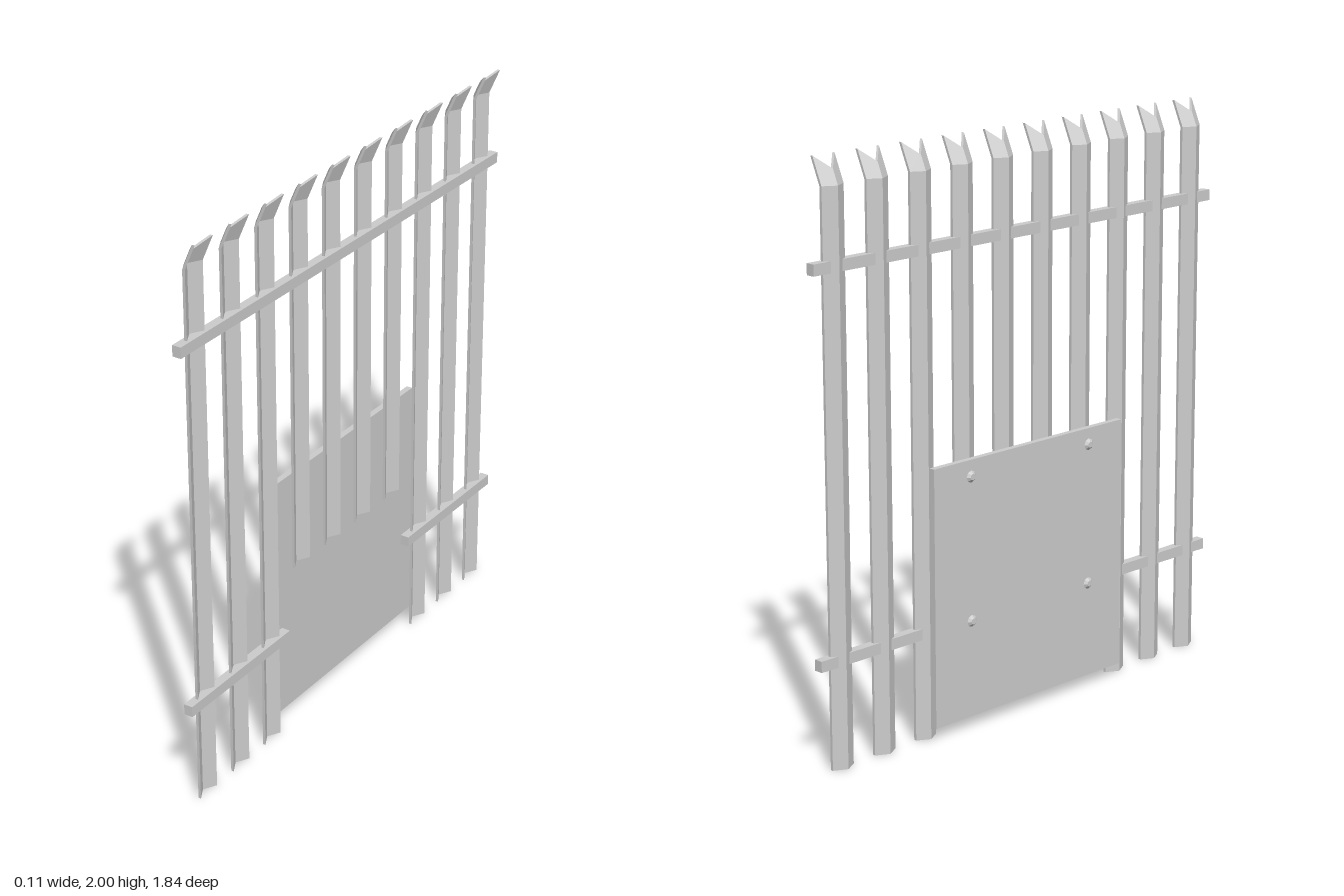
import * as THREE from 'three';

const material = new THREE.MeshStandardMaterial({ color: 0xcccccc, flatShading: true });

// V-shaped steel pale: a chevron section [x, z] swept upwards, bent and notched at the top
const SECTION = [[0, -0.045], [-0.025, 0], [0, 0.045], [0.01, 0.045], [-0.015, 0], [0.01, -0.045]];
const BEND_Y = 1.91;

function paleGeometry(bottom) {
  const ring = (yAt) => SECTION.map(([x, z]) => {
    const y = yAt(z);
    return [x + Math.max(0, y - BEND_Y) * 0.44, y, z];
  });
  const rings = [
    ring(() => bottom),
    ring(() => BEND_Y),
    ring((z) => (z === 0 ? 1.96 : 2)),
  ];
  const pos = [];
  const quad = (a, b, c, d) => pos.push(...a, ...b, ...c, ...a, ...c, ...d);
  for (let r = 0; r < 2; r++) {
    for (let i = 0; i < 6; i++) {
      const j = (i + 1) % 6;
      quad(rings[r][i], rings[r][j], rings[r + 1][j], rings[r + 1][i]);
    }
  }
  // end caps, one quad per arm of the chevron
  const [lo, , hi] = rings;
  quad(hi[0], hi[1], hi[4], hi[5]);
  quad(hi[1], hi[2], hi[3], hi[4]);
  quad(lo[5], lo[4], lo[1], lo[0]);
  quad(lo[4], lo[3], lo[2], lo[1]);
  const geo = new THREE.BufferGeometry();
  geo.setAttribute('position', new THREE.Float32BufferAttribute(pos, 3));
  geo.computeVertexNormals();
  return geo;
}

export function createModel() {
  const model = new THREE.Group();
  model.name = 'palisadeFence';

  const add = (name, geometry, x, y, z) => {
    const mesh = new THREE.Mesh(geometry, material);
    mesh.name = name;
    mesh.position.set(x, y, z);
    model.add(mesh);
    return mesh;
  };
  const box = (name, sx, sy, sz, x, y, z) => add(name, new THREE.BoxGeometry(sx, sy, sz), x, y, z);

  // ten pales, the middle four cut short above the gap
  const longPale = paleGeometry(0);
  const shortPale = paleGeometry(0.605);
  for (let i = 0; i < 10; i++) {
    const short = i >= 3 && i <= 6;
    add(short ? 'shortPale' : 'longPale', short ? shortPale : longPale, 0, 0, 0.002 + (4.5 - i) * 0.184);
  }

  // full upper rail, and a lower rail broken by the gap
  box('upperRail', 0.032, 0.038, 1.84, 0.004, 1.657, 0);
  for (const s of [1, -1]) box('lowerRail', 0.032, 0.038, 0.55, 0.004, 0.37, s * 0.645);

  // sheet patched over the gap, with four bolt heads
  box('patchPanel', 0.022, 0.895, 0.89, -0.038, 0.49, -0.012);
  const bolt = new THREE.CylinderGeometry(0.011, 0.022, 0.01, 8);
  bolt.rotateZ(Math.PI / 2);
  for (const y of [0.38, 0.88]) {
    for (const z of [-0.29, 0.27]) add('bolt', bolt, -0.053, y, z);
  }

  return model;
}
